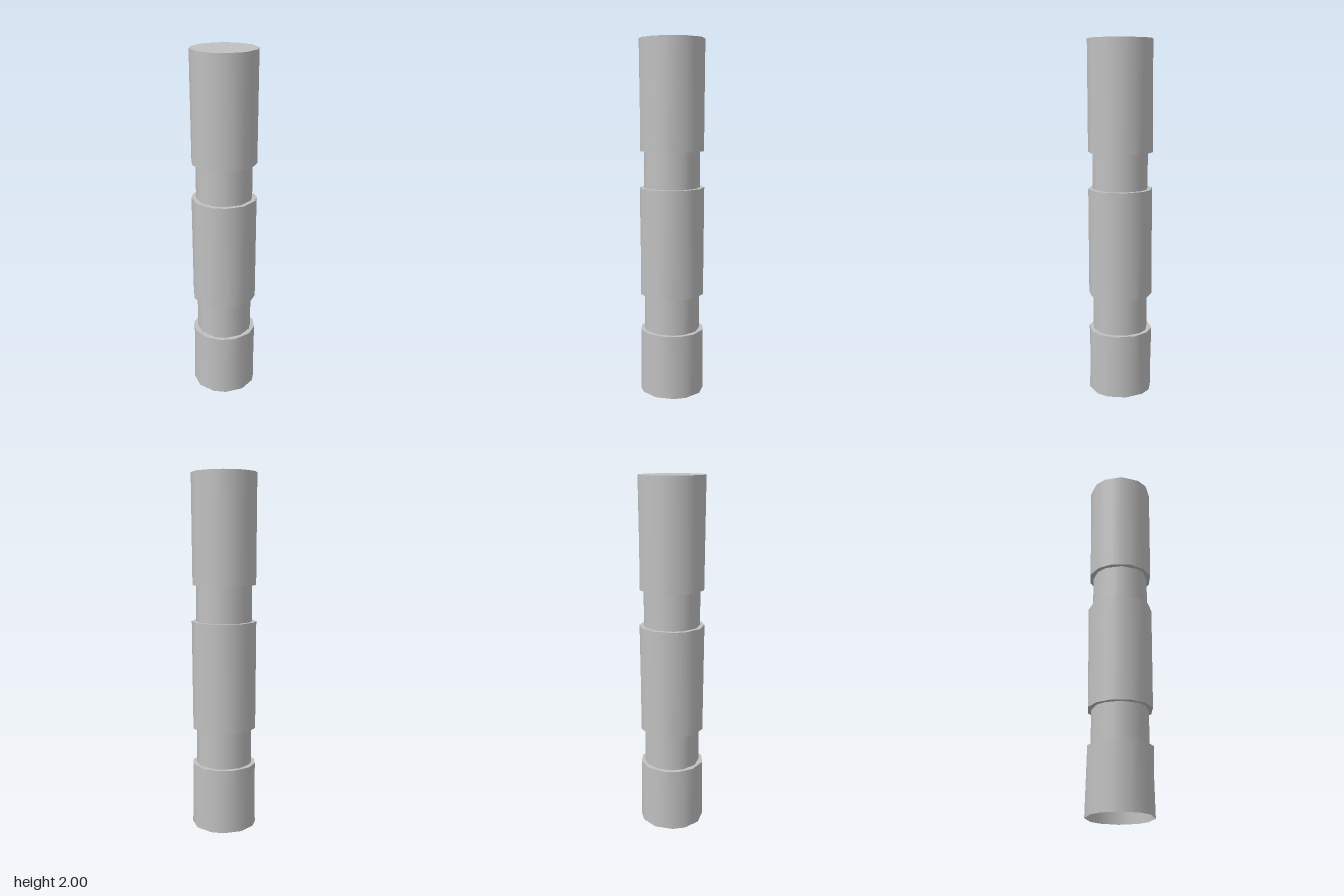
import * as THREE from 'three';

const R = 0.182, NECK = 0.157;

// Corner angles of the slightly uneven twelve-sided outline, plus the points halfway between
const corners = [];
for (let q = 0; q < 4; q++) for (const d of [0, 33.7, 56.3]) corners.push(q * 90 + d);
const angles = [];
corners.forEach((a, i) => {
  const next = i < 11 ? corners[i + 1] : 360;
  angles.push(a, (a + next) / 2);
});
const N = angles.length;

// Ring of points; phase 0 has corners on even samples, phase 1 on odd ones,
// and the samples between corners lie on the straight chord
function ring(r, y, phase) {
  const on = angles.map(a => {
    const t = THREE.MathUtils.degToRad(a);
    return new THREE.Vector3(Math.sin(t) * r, y, Math.cos(t) * r);
  });
  return on.map((p, i) => i % 2 === phase ? p
    : on[(i + N - 1) % N].clone().lerp(on[(i + 1) % N], 0.5));
}

// Strip between two rings: smooth round walls, or flat caps and ledges
function loft(lower, upper) {
  const pos = [], nor = [], index = [];
  const flat = lower[0].y === upper[0].y;
  const up = lower[0].length() > upper[0].length() ? 1 : -1;
  for (const points of [lower, upper]) {
    points.forEach((p, i) => {
      const t = THREE.MathUtils.degToRad(angles[i]);
      pos.push(p.x, p.y, p.z);
      if (flat) nor.push(0, up, 0);
      else nor.push(Math.sin(t), 0, Math.cos(t));
    });
  }
  for (let i = 0; i < N; i++) {
    const j = (i + 1) % N;
    index.push(i, j, N + j, i, N + j, N + i);
  }
  const g = new THREE.BufferGeometry();
  g.setAttribute('position', new THREE.Float32BufferAttribute(pos, 3));
  g.setAttribute('normal', new THREE.Float32BufferAttribute(nor, 3));
  g.setIndex(index);
  return g;
}

export function createModel() {
  const model = new THREE.Group();
  model.name = 'groovedPost';
  const grey = new THREE.MeshStandardMaterial({ color: 0xc0c0c0, side: THREE.DoubleSide });
  grey.name = 'grey';

  // Profile from the open foot to the closed top: radius, height, phase
  const rings = [
    [R, 0, 0], [R, 0.365, 1],
    [NECK, 0.365, 0], [NECK, 0.575, 0],
    [R, 0.575, 1], [R, 1.185, 0],
    [NECK, 1.185, 0], [NECK, 1.39, 0],
    [R, 1.39, 1], [R, 2, 0],
    [0, 2, 0],
  ].map(p => ring(...p));
  const names = ['lowerSection', 'lowerNeckBottomLedge', 'lowerNeck', 'lowerNeckTopLedge',
    'middleSection', 'upperNeckBottomLedge', 'upperNeck', 'upperNeckTopLedge',
    'upperSection', 'topCap'];

  names.forEach((name, i) => {
    // Ledges and the cap compare radii at their own height
    const mesh = new THREE.Mesh(loft(rings[i], rings[i + 1]), grey);
    mesh.name = name;
    model.add(mesh);
  });
  return model;
}
